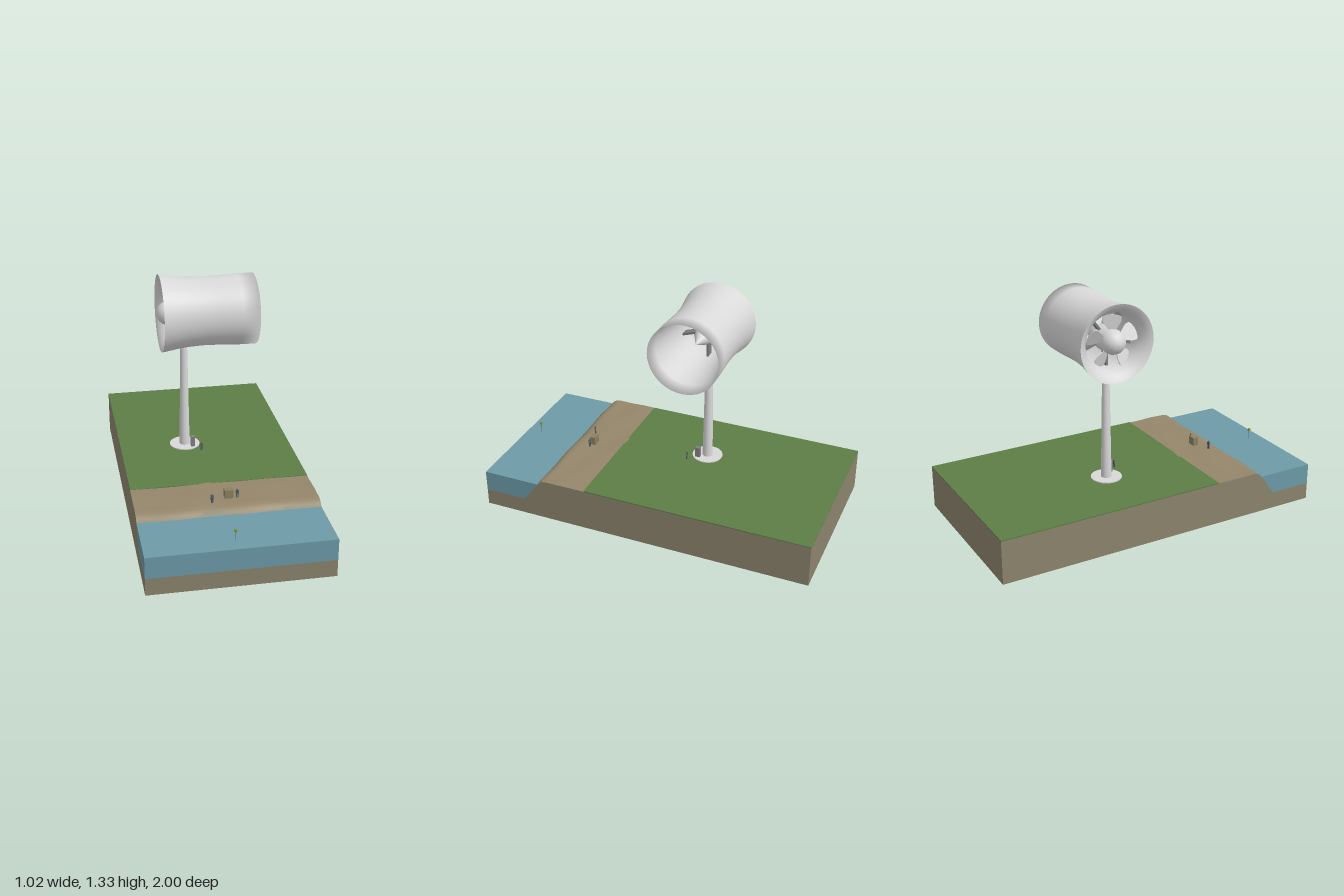
import * as THREE from 'three';

const mat = (name, color, side = THREE.FrontSide) => {
  const m = new THREE.MeshStandardMaterial({ color, side });
  m.name = name;
  return m;
};

export function createModel() {
  const model = new THREE.Group();
  const white = mat('white', 0xd8d8d8, THREE.DoubleSide);
  const steel = mat('steel', 0x808080);
  const grass = mat('grass', 0x5c7d45);
  const soil = mat('soil', 0x8a836c);
  const sand = mat('sand', 0x94866a, THREE.DoubleSide);
  const water = mat('water', 0x6c9aa7);
  const wood = mat('wood', 0x8c8062);
  const cloth = mat('cloth', 0x44606c);
  const skin = mat('skin', 0x8a6e58);
  const lime = mat('lime', 0x7c9a3a);

  const add = (parent, name, geo, material, x = 0, y = 0, z = 0) => {
    const m = new THREE.Mesh(geo, material);
    m.name = name;
    m.position.set(x, y, z);
    parent.add(m);
    return m;
  };
  const box = (w, h, d) => new THREE.BoxGeometry(w, h, d);
  const group = (parent, name, x, y, z) => {
    const g = new THREE.Group();
    g.name = name;
    g.position.set(x, y, z);
    parent.add(g);
    return g;
  };

  // Ground and water: (z, y) sections extruded across the width
  const HALF = 0.51, TOP = 0.258;
  const slab = (pts) => {
    const g = new THREE.ExtrudeGeometry(new THREE.Shape(pts.map(p => new THREE.Vector2(...p))),
      { depth: HALF * 2, bevelEnabled: false });
    return g.rotateY(-Math.PI / 2).translate(HALF, 0, 0);
  };
  const shore = [[0.6, 0.255], [0.625, 0.249], [0.645, 0.235], [0.655, 0.223], [0.74, 0.105], [0.76, 0.1], [1, 0.1]];
  add(model, 'earthBlock', slab([[-1, 0], [1, 0], ...shore.slice().reverse(), [-1, 0.255]]), soil);
  add(model, 'sea', slab([[0.655, 0.225], ...shore.slice(3), [1, 0.225]]), water);
  add(model, 'meadow', box(HALF * 2, 0.006, 1.35), grass, 0, 0.257, -0.325);

  // Gently rippled beach that follows the shore profile
  const shoreY = (z) => {
    if (z <= shore[0][0]) return shore[0][1];
    const i = shore.findIndex(p => p[0] >= z);
    const [a, b] = [shore[i - 1], shore[i]];
    return a[1] + (b[1] - a[1]) * (z - a[0]) / (b[0] - a[0]);
  };
  const beach = new THREE.PlaneGeometry(HALF * 2, 0.33, 40, 33).rotateX(-Math.PI / 2).translate(0, 0, 0.51);
  const bp = beach.attributes.position;
  for (let i = 0; i < bp.count; i++) {
    const x = bp.getX(i), z = bp.getZ(i);
    const ripple = 0.0012 * (Math.sin(x * 17 + z * 9) + Math.sin(x * 9 - z * 31));
    bp.setXYZ(i, x, shoreY(z) + 0.003 + ripple, z + 0.003 * Math.sin(x * 14));
  }
  beach.computeVertexNormals();
  add(model, 'beach', beach, sand);

  // Tower on its round foundation
  const TX = -0.12, TZ = -0.17, AXIS = 1.106;
  add(model, 'foundation', new THREE.CylinderGeometry(0.09, 0.09, 0.008, 40), white, TX, 0.262, TZ);
  add(model, 'tower', new THREE.CylinderGeometry(0.02, 0.031, 0.68, 32), white, TX, TOP + 0.34, TZ);
  add(model, 'cabinet', box(0.024, 0.07, 0.028), steel, -0.077, TOP + 0.035, -0.125);

  // Turbine head: everything turned about the x axis
  const head = group(model, 'turbineHead', 0, AXIS, TZ);
  const turned = (pts, segs) =>
    new THREE.LatheGeometry(pts.map(([x, r]) => new THREE.Vector2(r, x)), segs).rotateZ(-Math.PI / 2);
  add(head, 'shroud', turned([
    [-0.258, 0.225], [-0.22, 0.219], [-0.15, 0.207], [-0.08, 0.201], [0, 0.198], [0.07, 0.2],
    [0.14, 0.2035], [0.2, 0.206], [0.293, 0.207],
    [0.2, 0.197], [0.1, 0.184], [0, 0.17], [-0.1, 0.159], [-0.16, 0.157], [-0.2, 0.165], [-0.235, 0.188],
    [-0.252, 0.212], [-0.258, 0.225]], 72), white);
  add(head, 'spinner', turned([
    [-0.28, 0], [-0.277, 0.018], [-0.27, 0.034], [-0.259, 0.048], [-0.243, 0.06], [-0.222, 0.068],
    [-0.2, 0.07], [-0.12, 0.07]], 40), white);
  add(head, 'tailCone', turned([[-0.12, 0.07], [-0.06, 0.063], [0.01, 0.042], [0.1, 0]], 40), white);

  // Five pitched petal blades, with stay vanes between them
  const petal = new THREE.Shape();
  petal.moveTo(-0.018, 0.06);
  petal.bezierCurveTo(-0.035, 0.09, -0.06, 0.115, -0.05, 0.14);
  petal.quadraticCurveTo(0, 0.166, 0.05, 0.14);
  petal.bezierCurveTo(0.06, 0.115, 0.035, 0.09, 0.018, 0.06);
  petal.closePath();
  const bladeGeo = new THREE.ExtrudeGeometry(petal, { depth: 0.004, bevelEnabled: false, curveSegments: 10 })
    .rotateY(Math.PI / 2 - 0.45);
  for (let i = 0; i < 5; i++) {
    const a = i * Math.PI * 2 / 5;
    add(head, 'blade' + (i + 1), bladeGeo, white, -0.195, 0, 0).rotation.x = a;
    const stay = group(head, 'stay' + (i + 1), -0.11, 0, 0);
    stay.rotation.x = a + Math.PI / 5;
    add(stay, 'vane', box(0.05, 0.11, 0.012), steel, 0, 0.11, 0);
  }

  // Small standing figures
  const figure = (name, x, z, turn) => {
    const p = group(model, name, x, TOP, z);
    p.rotation.y = turn;
    for (const s of [-1, 1]) {
      add(p, 'leg', box(0.005, 0.026, 0.006), cloth, s * 0.004, 0.013, 0);
      add(p, 'arm', box(0.003, 0.02, 0.004), skin, s * 0.009, 0.033, 0).rotation.z = s * 0.15;
    }
    add(p, 'torso', box(0.014, 0.02, 0.007), cloth, 0, 0.036, 0);
    add(p, 'head', new THREE.SphereGeometry(0.0045, 12, 8), skin, 0, 0.051, 0);
  };
  figure('beachFigure', -0.083, 0.565, 0.2);
  figure('crateFigure', 0.063, 0.53, -0.3);
  figure('towerFigure', -0.033, -0.07, 0.1);

  // Crate on the beach and channel marker in the water
  add(model, 'crate', box(0.05, 0.05, 0.034), wood, 0.017, TOP + 0.026, 0.522);
  add(model, 'markerPole', new THREE.CylinderGeometry(0.002, 0.002, 0.07, 8), steel, -0.022, 0.255, 0.915);
  add(model, 'markerTop', new THREE.CylinderGeometry(0.008, 0.008, 0.014, 12), lime, -0.022, 0.286, 0.915);
  return model;
}
